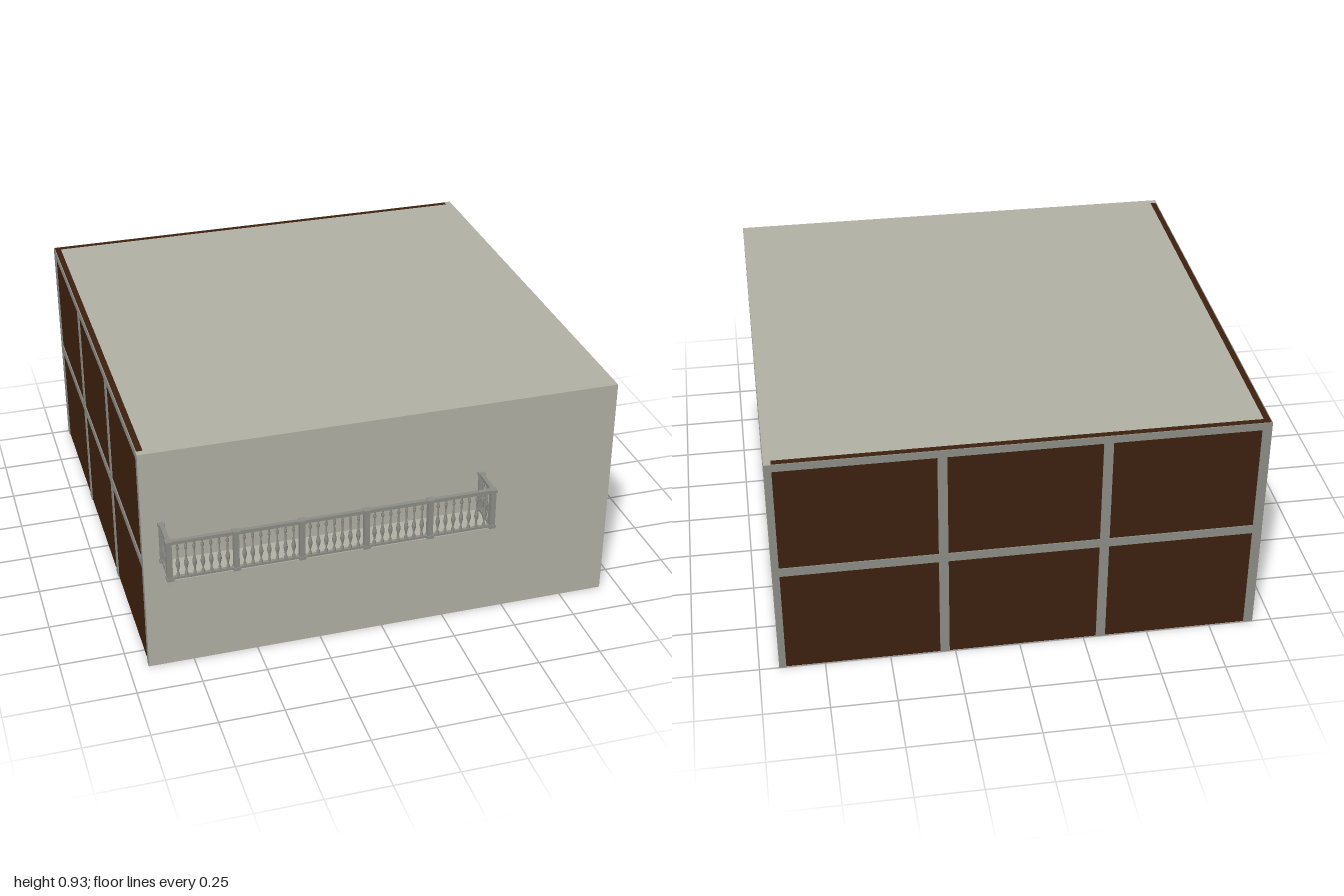
import * as THREE from 'three';

const mat = (name, color) => {
  const m = new THREE.MeshStandardMaterial({ color });
  m.name = name;
  return m;
};

export function createModel() {
  const plaster = mat('plaster', 0xb0afa2);
  const brown = mat('darkBrown', 0x3c200e);
  const grey = mat('stoneGrey', 0x8c8c86);
  const model = new THREE.Group();
  model.name = 'roomWithBalcony';

  // Box given by its lower and upper corners
  const box = (parent, name, m, [x0, y0, z0], [x1, y1, z1]) => {
    const mesh = new THREE.Mesh(new THREE.BoxGeometry(x1 - x0, y1 - y0, z1 - z0), m);
    mesh.position.set((x0 + x1) / 2, (y0 + y1) / 2, (z0 + z1) / 2);
    mesh.name = name;
    parent.add(mesh);
    return mesh;
  };

  const X = 0.925, H = 0.93, ZB = -1, ZF = 0.855, T = 0.027, R = 0.004;

  // Plastered walls and roof, open underneath
  box(model, 'frontWall', plaster, [-X, 0, ZF - T], [X, H, ZF]);
  box(model, 'leftWall', plaster, [X - T, 0, ZB], [X, H, ZF - T]);
  box(model, 'roof', plaster, [-X + T, H - T, ZB + T], [X - T, H, ZF - T]);

  // Brown panel walls
  box(model, 'backPanel', brown, [-X + R, 0, ZB + R], [X - T, H, ZB + T]);
  box(model, 'sidePanel', brown, [-X + R, 0, ZB + T], [-X + T, H, ZF - T]);

  // Grey frames dividing each panel wall into three by two
  const frame = new THREE.Group();
  frame.name = 'panelFrame';
  model.add(frame);
  const w = 0.036, top = H - 0.001, midY = 0.45;
  const bars = (a0, a1, put) => {
    put('topBar', a0, a1, top - 0.03, top);
    put('middleBar', a0, a1, midY - w / 2, midY + w / 2);
    for (const t of [1 / 3, 2 / 3]) {
      const c = a0 + (a1 - a0) * t;
      put('mullion', c - w / 2, c + w / 2, 0, top);
    }
  };
  bars(-X, X - T, (n, a, b, y0, y1) => box(frame, n, grey, [a, y0, ZB], [b, y1, ZB + R + 0.002]));
  bars(ZB, ZF - T, (n, a, b, y0, y1) => box(frame, n, grey, [-X, y0, a], [-X + R + 0.002, y1, b]));
  box(frame, 'cornerPost', grey, [-X, 0, ZB], [-X + w, top, ZB + R + 0.002]);
  box(frame, 'cornerPost', grey, [-X, 0, ZB], [-X + R + 0.002, top, ZB + w]);
  box(frame, 'endStrip', grey, [X - T, 0, ZB - 0.001], [X, top, ZB + 0.001]);
  box(frame, 'endStrip', grey, [-X - 0.001, 0, ZF - T], [-X + 0.001, top, ZF]);

  // Balcony slab with a stepped edge
  const balcony = new THREE.Group();
  balcony.name = 'balcony';
  model.add(balcony);
  const xa = -0.852, xb = 0.385, zr = 0.983;
  box(balcony, 'slab', plaster, [xa, 0.442, ZF], [xb, 0.463, 0.987]);
  box(balcony, 'slabTop', plaster, [xa - 0.004, 0.463, ZF], [xb + 0.004, 0.469, 0.99]);

  // Railing posts with caps and feet
  const post = (x, z, wx, wz) => {
    box(balcony, 'post', grey, [x - wx / 2, 0.469, z - wz / 2], [x + wx / 2, 0.634, z + wz / 2]);
    for (const y of [0.469, 0.625]) {
      box(balcony, 'postCap', grey, [x - wx / 2 - 0.003, y, z - wz / 2 - 0.003],
        [x + wx / 2 + 0.003, y + 0.012, z + wz / 2 + 0.003]);
    }
  };
  const bay = (xb - xa) / 5;
  for (let i = 0; i <= 5; i++) post(xa + i * bay, zr, 0.02, 0.022);
  for (const x of [xa, xb]) post(x, ZF + 0.008, 0.02, 0.012);

  // Top and bottom rails
  for (const [name, y0, y1, r] of [['bottomRail', 0.471, 0.481, 0.006], ['topRail', 0.622, 0.636, 0.008]]) {
    box(balcony, name, grey, [xa, y0, zr - r], [xb, y1, zr + r]);
    for (const x of [xa, xb]) box(balcony, name, grey, [x - r, y0, ZF], [x + r, y1, zr]);
  }

  // Turned balusters
  const profile = [
    [0.006, 0], [0.006, 0.012], [0.003, 0.018], [0.0035, 0.028], [0.0085, 0.048],
    [0.0075, 0.06], [0.0035, 0.078], [0.0028, 0.112], [0.006, 0.118], [0.006, 0.126],
    [0.003, 0.131], [0.005, 0.146],
  ].map(([r, y]) => new THREE.Vector2(r, y));
  const turned = new THREE.LatheGeometry(profile, 10);
  const baluster = (x, z) => {
    const mesh = new THREE.Mesh(turned, grey);
    mesh.position.set(x, 0.479, z);
    mesh.name = 'baluster';
    balcony.add(mesh);
  };
  for (let b = 0; b < 5; b++) {
    for (let i = -3; i <= 3; i++) baluster(xa + (b + 0.5) * bay + i * 0.0308, zr);
  }
  for (const x of [xa, xb]) for (const z of [0.888, 0.922, 0.956]) baluster(x, z);

  return model;
}
